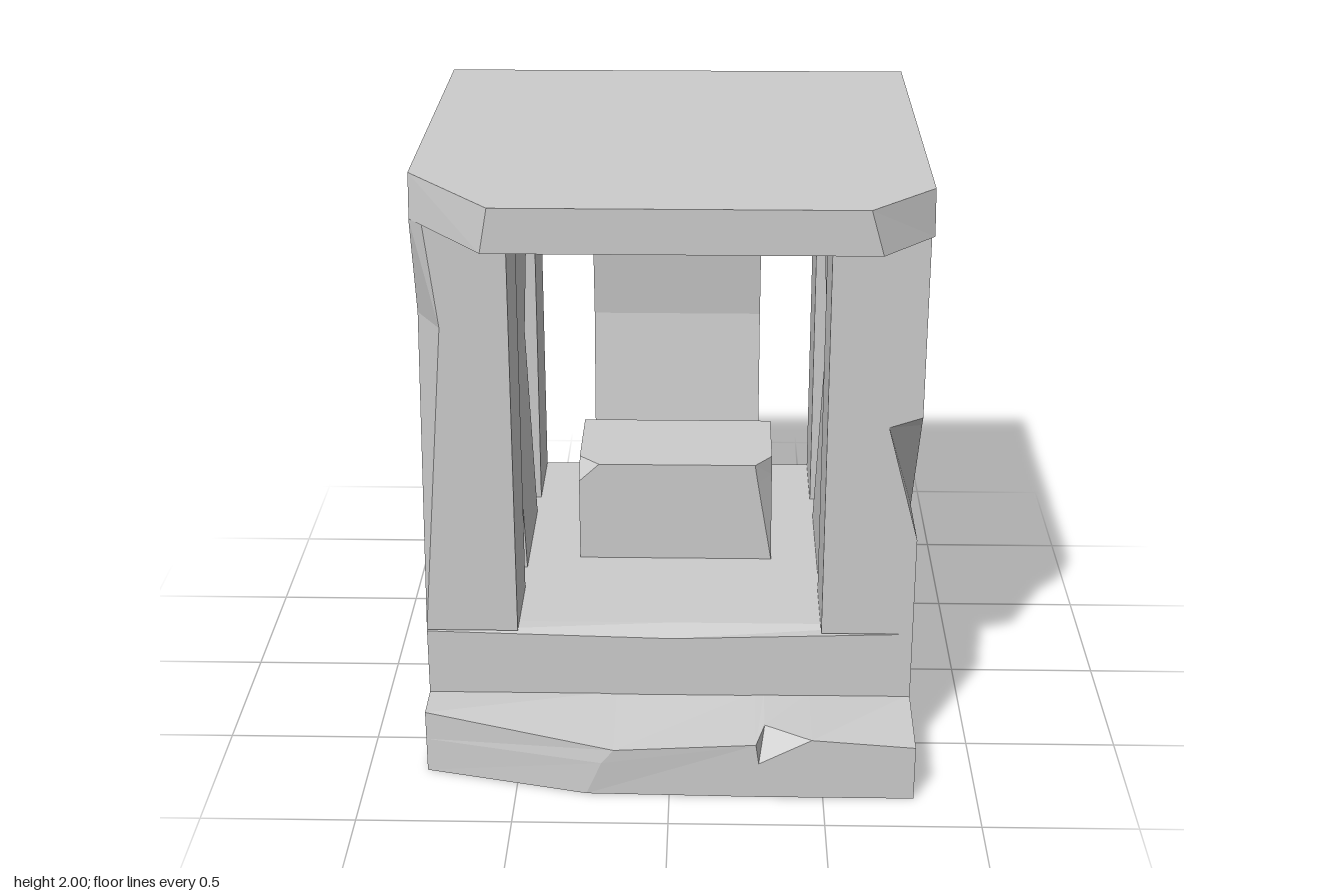
import * as THREE from 'three';

const material = new THREE.MeshStandardMaterial({ color: 0xcccccc, flatShading: true });

// Skin a row of matching cross-sections (counter-clockwise about the row's direction) and cap the ends.
function loft(rings) {
  const pos = [];
  const tri = (a, b, c) => pos.push(...a, ...b, ...c);
  const n = rings[0].length;
  for (let i = 0; i + 1 < rings.length; i++) {
    const a = rings[i], b = rings[i + 1];
    for (let j = 0; j < n; j++) {
      const k = (j + 1) % n;
      tri(a[j], a[k], b[j]);
      tri(a[k], b[k], b[j]);
    }
  }
  const first = rings[0], last = rings[rings.length - 1];
  for (let j = 1; j + 1 < n; j++) {
    tri(first[0], first[j + 1], first[j]);
    tri(last[0], last[j], last[j + 1]);
  }
  const geometry = new THREE.BufferGeometry();
  geometry.setAttribute('position', new THREE.Float32BufferAttribute(pos, 3));
  geometry.computeVertexNormals();
  return geometry;
}

// Horizontal section from [x, z] corners at height y.
const level = (y, corners) => corners.map(([x, z]) => [x, y, z]);

export function createModel() {
  const group = new THREE.Group();
  const add = (name, geometry) => {
    const mesh = new THREE.Mesh(geometry, material);
    mesh.name = name;
    group.add(mesh);
  };

  const L = -0.805, R = 0.795, BACK = -0.77, FRONT = 0.565;
  const FLOOR = 0.455, MID = 1.16, CEIL = 1.86;

  // Base block with a worn front edge
  add('base', loft([[L, 0.45], [0, 0.43], [R, 0.455]].map(([x, y]) => [
    [x, FLOOR, 0.5], [x, y, FRONT], [x, 0, FRONT], [x, 0, BACK], [x, FLOOR, BACK],
  ])));

  // Front step: crest [x, y, z], a point on the front face, bottom front corner
  const stepSections = [
    [[L, 0.22, 0.7], [L, 0.12, 0.7], [L, 0, 0.7]],
    [[-0.18, 0.17, 0.84], [-0.22, 0.12, 0.838], [-0.27, 0, 0.83]],
    [[0.28, 0.195, 0.84], [0.28, 0.195, 0.84], [0.28, 0, 0.84]],
    [[0.31, 0.21, 0.74], [0.29, 0.125, 0.84], [0.29, 0, 0.84]],
    [[0.46, 0.215, 0.84], [0.46, 0.125, 0.84], [0.46, 0, 0.84]],
    [[R, 0.19, 0.84], [R, 0.12, 0.84], [R, 0, 0.84]],
  ];
  add('frontStep', loft(stepSections.map(([crest, face, bottom]) => [
    crest, face, bottom, [bottom[0], 0, 0.55], [crest[0], 0.22, 0.55],
  ])));

  // Plain rear pillars
  for (const [name, x] of [['rearLeftPillar', 0.645], ['rearRightPillar', -0.655]]) {
    const pillar = new THREE.BoxGeometry(0.3, CEIL - FLOOR, 0.31);
    pillar.translate(x, (CEIL + FLOOR) / 2, -0.615);
    add(name, pillar);
  }

  // Front pillar with a notch broken out of its outer corner: [y, front cut x, side cut z]
  add('frontLeftPillar', loft([
    [FLOOR, R, 0.3], [0.8, R, 0.3], [1.195, 0.69, 0.54], [1.23, R, FRONT], [CEIL, R, FRONT],
  ].map(([y, px, qz]) => level(y, [[px, FRONT], [R, qz], [R, 0.26], [0.495, 0.26], [0.495, FRONT]]))));

  // Front pillar with a long chip down its outer corner
  add('frontRightPillar', loft([
    [FLOOR, L, FRONT], [1.52, -0.72, 0.42], [CEIL, -0.76, 0.52],
  ].map(([y, px, qz]) => level(y, [[px, FRONT], [-0.505, FRONT], [-0.505, 0.26], [L, 0.26], [L, qz]]))));

  // Wall panels that bow outwards at mid height
  const panel = (name, corners, dx, dz) => add(name, loft([
    level(FLOOR, corners),
    level(MID, corners.map(([x, z]) => [x + dx, z + dz])),
    level(CEIL, corners),
  ]));
  panel('backPanel', [[-0.3, -0.47], [0.3, -0.47], [0.3, BACK], [-0.3, BACK]], 0, -0.07);
  panel('leftPanel', [[0.5, 0.14], [R, 0.11], [R, -0.35], [0.5, -0.32]], 0.035, -0.045);
  panel('rightPanel', [[L, 0.13], [-0.51, 0.11], [-0.51, -0.34], [L, -0.34]], -0.03, -0.015);

  // Pedestal with two chipped front corners: [y, left chip, right cut x, right cut z]
  add('pedestal', loft([
    [FLOOR, 0, 0.34, 0.03], [0.75, 0, 0.29, -0.04], [0.815, 0.07, 0.28, -0.05],
  ].map(([y, c, px, qz]) => level(y, [
    [px, 0.03], [0.34, qz], [0.34, -0.36], [-0.33, -0.36], [-0.33, 0.03 - c], [-0.33 + c, 0.03],
  ]))));

  // Roof slab with bevelled front corners: right corner x, z and left corner z, x
  add('roof', loft([
    [CEIL, 0.63, 0.655, 0.515, -0.555], [2, 0.59, 0.62, 0.49, -0.53],
  ].map(([y, rx, rz, lz, lx]) => level(y, [
    [rx, 0.84], [R, rz], [R, BACK], [L, BACK], [L, lz], [lx, 0.84],
  ]))));

  return group;
}
